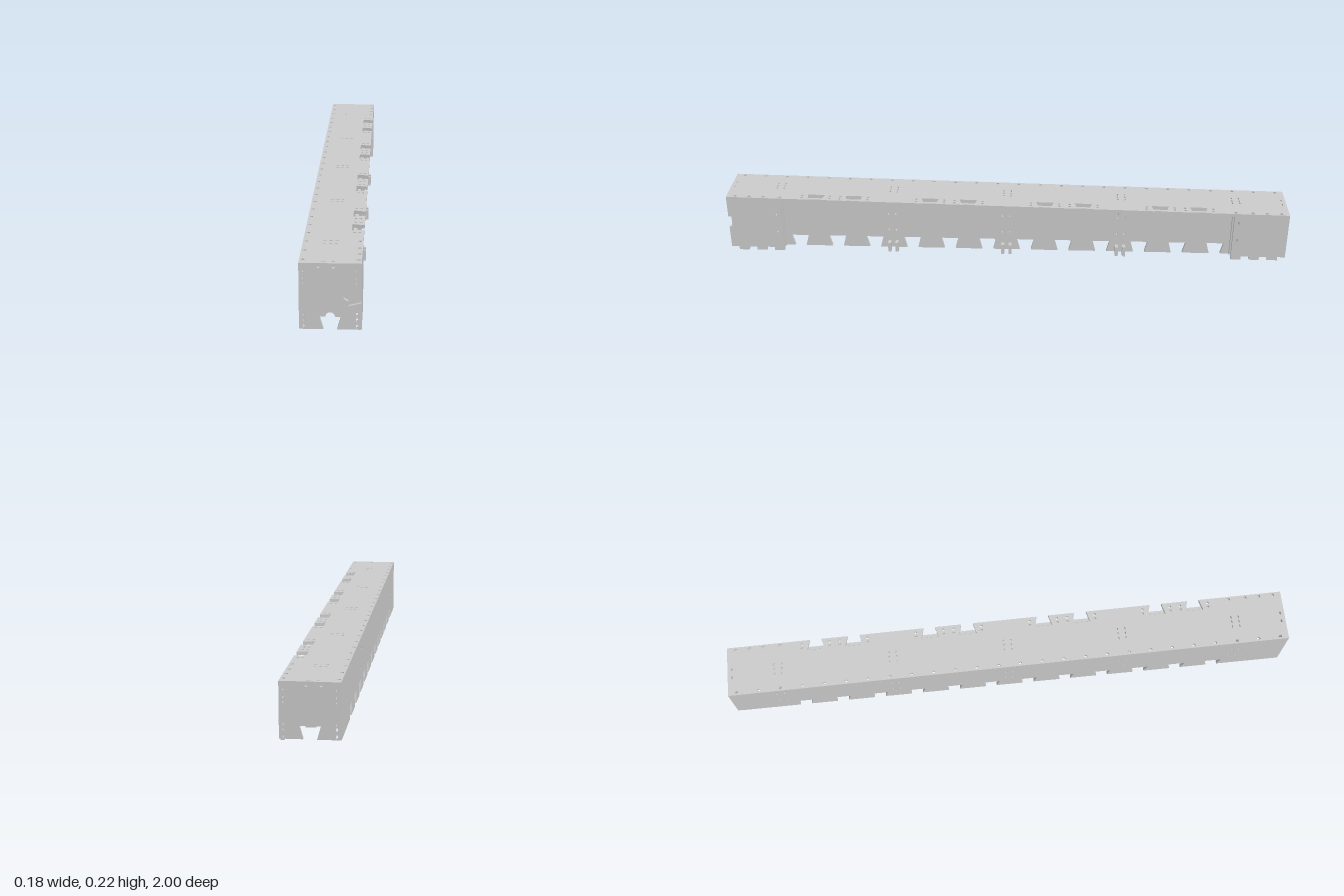
import * as THREE from 'three';

const T = 0.011;                                   // sheet thickness
const PITCH = 0.1365;
const RIBS = [-0.82, -0.41, 0, 0.41, 0.82];
const topY = z => 0.2 + 0.0165 * z;                // sloping upper surface

const material = new THREE.MeshStandardMaterial({ color: 0xcccccc });

// closed outline with oval holes given as [u, v, ru, rv]
function sheet(points, holes = []) {
  const shape = new THREE.Shape(points.map(p => new THREE.Vector2(p[0], p[1])));
  for (const [u, v, ru, rv] of holes) {
    const ring = [];
    for (let i = 0; i < 8; i++) {
      const a = -i * Math.PI / 4;
      ring.push(new THREE.Vector2(u + ru * Math.cos(a), v + rv * Math.sin(a)));
    }
    shape.holes.push(new THREE.Path(ring));
  }
  return new THREE.ExtrudeGeometry(shape, { depth: T, bevelEnabled: false });
}

// dovetail cut into a lower edge, optionally with a round finger relief
function dovetail(c, edge, depth, relief = false) {
  const arc = [];
  for (let i = 0; relief && i <= 10; i++) {
    const a = Math.PI * (1 - i / 10);
    arc.push([c + 0.014 * Math.cos(a), edge + depth + 0.014 * Math.sin(a)]);
  }
  return [[c - 0.02, edge], [c - 0.031, edge + depth], ...arc,
    [c + 0.031, edge + depth], [c + 0.02, edge]];
}

export function createModel() {
  const group = new THREE.Group();
  const add = (name, geometry) => {
    const mesh = new THREE.Mesh(geometry, material);
    mesh.name = name;
    group.add(mesh);
  };
  const box = (name, w, h, d, x, y, z) =>
    add(name, new THREE.BoxGeometry(w, h, d).translate(x, y, z));
  // sheet drawn in (z, y), its outer face at x
  const upright = (geometry, x) => geometry.rotateY(-Math.PI / 2).translate(x, 0, 0);

  // top panel, dovetailed along its +x edge
  const top = [[-0.09, -1], [0.09, -1]];
  for (const k of [-5, -4, -2, -1, 1, 2, 4, 5]) {
    const z = k * PITCH;
    top.push([0.09, z - 0.021], [0.052, z - 0.031], [0.052, z + 0.031], [0.09, z + 0.021]);
  }
  top.push([0.09, 1], [-0.09, 1]);
  const topHoles = [];
  for (let i = 0; i < 26; i++) topHoles.push([-0.08, -0.97 + i * 0.0776, 0.006, 0.006]);
  for (const s of [-1, 1]) {
    for (const z of [0.81, 0.87, 0.92, 0.97]) topHoles.push([0.08, s * z, 0.006, 0.006]);
    for (const x of [-0.022, 0.008]) topHoles.push([x, s * 0.985, 0.006, 0.003]);
  }
  for (const z of RIBS) for (const s of [-1, 1]) for (const x of [-0.025, -0.007, 0.01])
    topHoles.push([x, z + s * 0.013, 0.006, 0.003]);
  for (const k of [-5, -4, -2, -1, 1, 2, 4, 5]) for (const s of [-1, 1]) for (const x of [0.06, 0.076])
    topHoles.push([x, k * PITCH + s * 0.05, 0.005, 0.005]);
  const topGeo = sheet(top, topHoles).rotateX(Math.PI / 2);
  const p = topGeo.attributes.position;
  for (let i = 0; i < p.count; i++) p.setY(i, p.getY(i) + topY(p.getZ(i)));
  topGeo.computeVertexNormals();
  add('topPanel', topGeo);

  // long side walls with a row of dovetails along the bottom
  const wall = (name, x, half) => {
    const pts = [[-half, 0.011]];
    for (let i = 0; i < 12; i++) pts.push(...dovetail((i - 5.5) * PITCH, 0.011, 0.042));
    pts.push([half, 0.011], [half, topY(half) - T], [-half, topY(-half) - T]);
    const holes = [];
    for (const z of RIBS) if (Math.abs(z) < half - 0.03)
      for (const s of [-1, 1]) for (const y of [0.085, 0.15])
        holes.push([z + s * 0.013, y, 0.004, 0.006]);
    add(name, upright(sheet(pts, holes), x));
  };
  wall('rightWall', -0.09 + T, 0.989);
  wall('insetLeftWall', 0.068, 0.815);

  // flush side panels at both ends, standing on small feet
  for (const s of [-1, 1]) {
    const pts = [[s * 0.807, 0.013]];
    for (const z of [0.825, 0.89, 0.955])
      pts.push([s * (z - 0.018), 0.013], [s * (z - 0.018), 0],
        [s * (z + 0.018), 0], [s * (z + 0.018), 0.013]);
    pts.push([s * 0.989, 0.013], [s * 0.989, topY(s * 0.989) - T], [s * 0.807, topY(s * 0.807) - T]);
    const holes = [0.08, 0.15].map(y => [s * 0.825, y, 0.004, 0.006]);
    add('flushSidePanel', upright(sheet(pts, holes), 0.09));
  }

  // end plates; the front one also has a dovetail in its +x edge
  for (const s of [-1, 1]) {
    const h = topY(s) - 0.001;
    const pts = [[-0.09, 0.013], ...dovetail(0, 0.013, 0.039, true), [0.09, 0.013]];
    if (s > 0) {
      const arc = [];
      for (let i = 0; i <= 10; i++) {
        const a = Math.PI * i / 10;
        arc.push([0.052 - 0.014 * Math.sin(a), 0.116 - 0.014 * Math.cos(a)]);
      }
      pts.push([0.09, 0.095], [0.052, 0.085], ...arc, [0.052, 0.147], [0.09, 0.137]);
    }
    pts.push([0.09, h], [-0.09, h]);
    const holes = [];
    for (const m of [-1, 1]) for (const y of [0.022, 0.043, 0.06, h - 0.058, h - 0.043, h - 0.021])
      holes.push([m * 0.077, y, 0.003, 0.006]);
    for (const x of [-0.033, 0.01]) holes.push([x, h - 0.012, 0.005, 0.0025]);
    add(s > 0 ? 'frontPlate' : 'backPlate',
      sheet(pts, holes).translate(0, 0, s > 0 ? 1 - T : -1));
  }

  // paired cross ribs with feet and a small cable slot
  for (const z of RIBS) {
    const outer = Math.abs(z) > 0.5;
    for (const s of [-1, 1]) {
      const zc = z + s * 0.013, h = topY(zc) - T;
      const e = outer ? 0.079 : 0.057;
      const pts = [[-0.079, 0.013], [-0.06, 0.013], [-0.06, 0], [-0.028, 0], [-0.028, 0.013],
        [-0.005, 0.013], [-0.005, 0.018], [0.005, 0.018], [0.005, 0], [0.037, 0], [0.037, 0.013],
        [e, 0.013], [e, h], [-0.079, h]];
      add('crossRib', sheet(pts).translate(0, 0, zc - T / 2));
      // tabs passing out through the inset wall
      if (!outer) box('lowerHook', 0.022, 0.036, T, 0.078, 0.021, zc);
    }
    if (!outer) box('upperBracket', 0.016, 0.03, 0.022, 0.076, topY(z) - T - 0.015, z);
  }
  return group;
}
